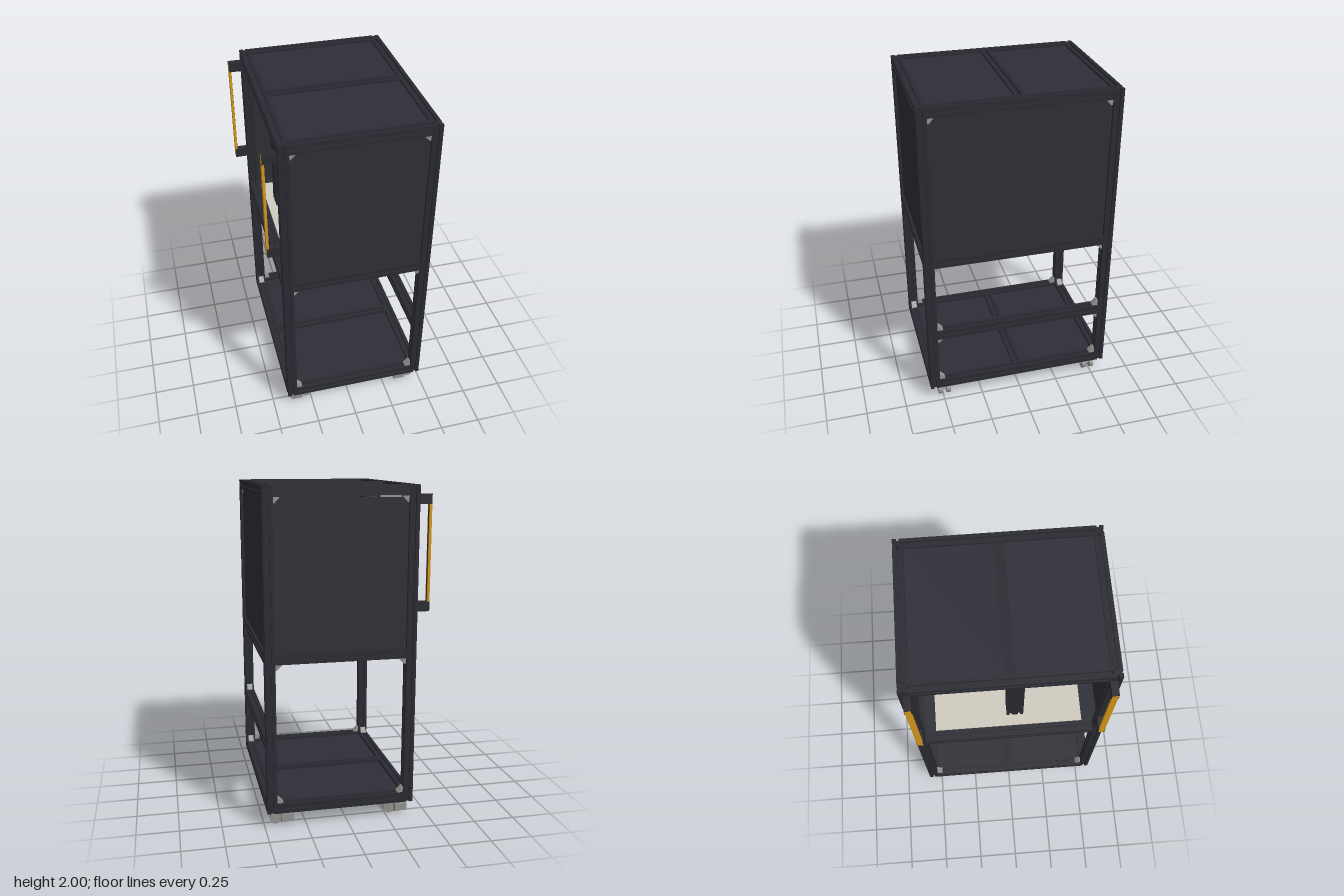
import * as THREE from 'three';

const mat = (name, color) => {
  const m = new THREE.MeshStandardMaterial({ color });
  m.name = name;
  return m;
};

export function createModel() {
  const root = new THREE.Group();
  const frameMat = mat('dark frame', 0x2a2a32);
  const panelMat = mat('dark panel', 0x2e2e37);
  const bedMat = mat('pale work surface', 0xcfcbc0);
  const yellowMat = mat('safety yellow', 0xd6981a);
  const steelMat = mat('grey metal', 0x92928e);

  const X0 = -0.41, X1 = 0.485, ZH = 0.582, T = 0.06, H = T / 2;
  const xa = X0 + H, xb = X1 - H, zc = ZH - H, xm = (X0 + X1) / 2;
  const bottom = 0.12, deck = 1.03, top = 1.97;

  const add = (name, geo, material, x = 0, y = 0, z = 0, parent = root) => {
    const m = new THREE.Mesh(geo, material);
    m.name = name;
    m.position.set(x, y, z);
    parent.add(m);
    return m;
  };
  const box = (name, material, w, h, d, x, y, z, parent) =>
    add(name, new THREE.BoxGeometry(w, h, d), material, x, y, z, parent);

  // Slotted square bar, centred on its length
  const slotted = (size, len) => {
    const h = size / 2, s = size * 0.13, d = h - size * 0.2;
    const side = [[-h, -h], [-s, -h], [-s, -d], [s, -d], [s, -h]];
    const pts = [];
    for (let i = 0; i < 4; i++) {
      const c = Math.round(Math.cos(i * Math.PI / 2)), n = Math.round(Math.sin(i * Math.PI / 2));
      for (const [x, y] of side) pts.push(new THREE.Vector2(x * c - y * n, x * n + y * c));
    }
    const g = new THREE.ExtrudeGeometry(new THREE.Shape(pts), { depth: len, bevelEnabled: false });
    return g.translate(0, 0, -len / 2);
  };
  const bar = (name, axis, len, x, y, z, size = T) => {
    const g = slotted(size, len);
    if (axis === 'x') g.rotateY(Math.PI / 2);
    if (axis === 'y') g.rotateX(-Math.PI / 2);
    return add(name, g, frameMat, x, y, z);
  };

  // Triangular corner bracket with legs along u and v
  const bracket = (x, y, z, u, v) => {
    const L = 0.036, W = 0.036;
    const s = new THREE.Shape([new THREE.Vector2(0, 0), new THREE.Vector2(L, 0),
      new THREE.Vector2(L, 0.008), new THREE.Vector2(0.008, L), new THREE.Vector2(0, L)]);
    const g = new THREE.ExtrudeGeometry(s, { depth: W, bevelEnabled: false }).translate(0, 0, -W / 2);
    const U = new THREE.Vector3(...u), V = new THREE.Vector3(...v);
    g.applyMatrix4(new THREE.Matrix4().makeBasis(U, V, U.clone().cross(V)));
    add('cornerBracket', g, steelMat, x, y, z);
  };

  // Posts and horizontal rails
  const lenX = X1 - X0 - 2 * T, lenZ = 2 * (ZH - T);
  for (const x of [xa, xb]) for (const z of [-zc, zc]) bar('cornerPost', 'y', 1.91, x, 1.045, z);
  for (const y of [bottom, deck, top]) {
    for (const z of [-zc, zc]) bar('crossRail', 'x', lenX, xm, y, z);
    for (const x of [xa, xb]) bar('sideRail', 'z', lenZ, x, y, 0);
  }
  bar('middleSideRail', 'z', lenZ, xb, 0.507, 0);
  bar('topMiddleRail', 'x', lenX, xm, top, 0);
  bar('bottomMiddleRail', 'x', lenX, xm, bottom, 0);
  for (const z of [-0.27, 0.27]) bar('deckCrossRail', 'x', lenX, xm, deck, z);

  // Corner brackets in the frame openings
  const up = [0, 1, 0], down = [0, -1, 0];
  for (const [y, v] of [[bottom + H, up], [deck - H, down], [top - H, down]]) {
    for (const z of [-zc, zc]) {
      bracket(X0 + T, y, z, [1, 0, 0], v);
      bracket(X1 - T, y, z, [-1, 0, 0], v);
    }
    for (const x of [xa, xb]) for (const s of [-1, 1]) bracket(x, y, s * (ZH - T), [0, 0, -s], v);
  }
  for (const s of [-1, 1]) {
    bracket(xb, 0.507 + H, s * (ZH - T), [0, 0, -s], up);
    bracket(xb, 0.507 - H, s * (ZH - T), [0, 0, -s], down);
    // Flat brackets beside the cross rails
    bracket(X0 + T, deck - 0.01, s * 0.24, [1, 0, 0], [0, 0, -s]);
    bracket(X1 - T, deck - 0.01, s * 0.24, [-1, 0, 0], [0, 0, -s]);
  }
  bracket(X0 + T, bottom - 0.008, H, [1, 0, 0], [0, 0, 1]);
  bracket(X1 - T, bottom - 0.008, H, [-1, 0, 0], [0, 0, 1]);

  // Wall panels, leaving a narrow slit under the top rails
  const wallH = 1.934 - 1.055, wallY = (1.934 + 1.055) / 2;
  box('frontPanel', panelMat, lenX + 0.01, wallH, 0.012, xm, wallY, zc + 0.008);
  box('backPanel', panelMat, lenX + 0.01, wallH, 0.012, xm, wallY, -zc - 0.008);
  box('sidePanel', panelMat, 0.012, wallH, lenZ + 0.01, xb + 0.008, wallY, 0);

  // Top, deck and bottom panels
  const halfZ = ZH - T - H;
  for (const s of [-1, 1]) {
    const z = s * (H + halfZ / 2);
    box('topPanel', panelMat, lenX + 0.01, 0.012, halfZ, xm, top + 0.012, z);
    box('bottomPanel', panelMat, lenX + 0.01, 0.012, halfZ, xm, bottom + 0.005, z);
  }
  box('deckPanel', panelMat, lenX, 0.012, lenZ, xm, 1.056, 0);
  box('workSurface', bedMat, lenX - 0.01, 0.009, 0.91, xm, 1.0665, 0);

  // Hanging column inside the open side
  const colLen = 1.94 - 1.27, colY = (1.94 + 1.27) / 2;
  for (const dx of [0, 0.05]) for (const dz of [0, 0.05])
    bar('hangingColumn', 'y', colLen, -0.315 + dx, colY, 0.01 + dz, 0.05);
  box('columnTopPlate', frameMat, 0.12, 0.012, 0.26, -0.29, 1.934, 0.01);
  bracket(-0.29, 1.928, 0.085, [0, 0, 1], down);
  bracket(-0.29, 1.928, -0.015, [0, 0, -1], down);

  // Light curtain bars beside the opening
  for (const s of [-1, 1]) {
    const z = s * 0.537;
    const g = new THREE.Group();
    g.name = 'lightCurtain';
    root.add(g);
    for (const y of [1.3, 1.918]) box('curtainMount', frameMat, 0.08, 0.058, 0.04, -0.45, y, z, g);
    box('curtainBar', yellowMat, 0.014, 0.66, 0.034, -0.484, 1.609, z, g);
    box('curtainLens', frameMat, 0.003, 0.56, 0.012, -0.4765, 1.609, z, g);
  }

  // Levelling casters
  for (const sx of [-1, 1]) for (const sz of [-1, 1]) {
    const g = new THREE.Group();
    g.name = 'caster';
    g.position.set(sx < 0 ? -0.315 : 0.39, 0, sz * 0.49);
    root.add(g);
    const plate = new THREE.CylinderGeometry(0.085, 0.085, 0.01, 8).rotateY(Math.PI / 8);
    add('mountPlate', plate, steelMat, 0, 0.084, 0, g);
    add('swivel', new THREE.CylinderGeometry(0.035, 0.035, 0.016, 20), steelMat, 0, 0.071, 0, g);
    box('housing', steelMat, 0.075, 0.045, 0.075, -0.03, 0.045, sz * 0.025, g);
    for (const dz of [-0.026, 0.026]) {
      const wheel = new THREE.CylinderGeometry(0.034, 0.034, 0.024, 20).rotateX(Math.PI / 2);
      add('wheel', wheel, steelMat, 0.04, 0.036, dz, g);
    }
    const axle = new THREE.CylinderGeometry(0.01, 0.01, 0.09, 12).rotateX(Math.PI / 2);
    add('axle', axle, steelMat, 0.04, 0.036, 0, g);
    add('levellingFoot', new THREE.CylinderGeometry(0.022, 0.026, 0.03, 20), steelMat, -0.02, 0.015, 0, g);
  }

  return root;
}
